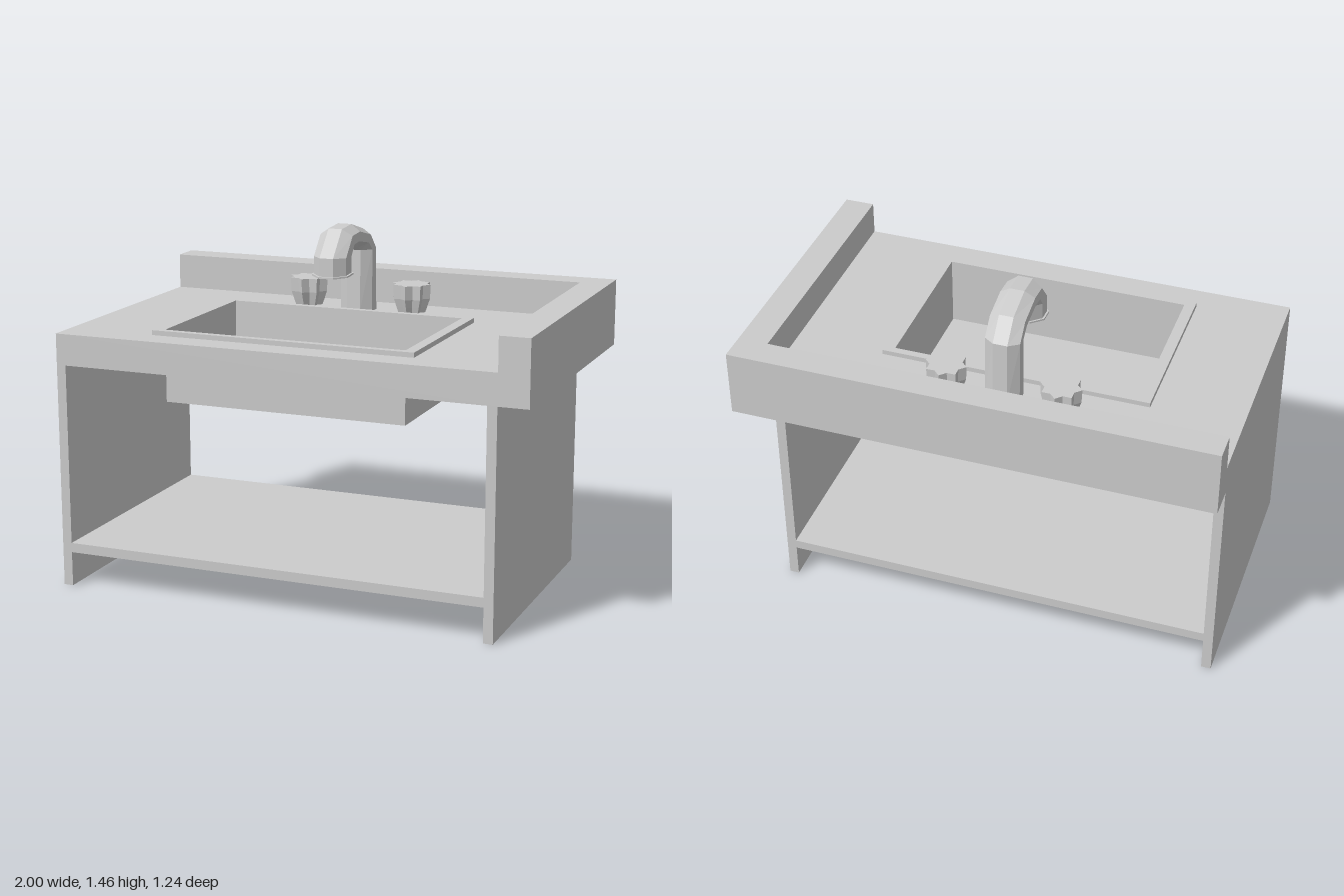
import * as THREE from 'three';

const material = new THREE.MeshStandardMaterial({ color: 0xcccccc, flatShading: true, side: THREE.DoubleSide });

function part(name, geometry, parent) {
  const mesh = new THREE.Mesh(geometry, material);
  mesh.name = name;
  parent.add(mesh);
  return mesh;
}

function box(name, [x0, x1], [y0, y1], [z0, z1], parent) {
  const geo = new THREE.BoxGeometry(x1 - x0, y1 - y0, z1 - z0);
  geo.translate((x0 + x1) / 2, (y0 + y1) / 2, (z0 + z1) / 2);
  return part(name, geo, parent);
}

// Corner points [x, z] of a rectangle in plan
const rect = (x0, x1, z0, z1) => [[x0, z0], [x1, z0], [x1, z1], [x0, z1]];

// Plan outline, with an optional hole, raised from y0 to y1
function slab(outline, hole, y0, y1) {
  const flat = pts => pts.map(([x, z]) => new THREE.Vector2(x, -z));
  const shape = new THREE.Shape(flat(outline));
  if (hole) shape.holes.push(new THREE.Path(flat(hole)));
  const geo = new THREE.ExtrudeGeometry(shape, { depth: y1 - y0, bevelEnabled: false });
  return geo.rotateX(-Math.PI / 2).translate(0, y0, 0);
}

// Skin over a list of rings of Vector3, with fan caps at the ends
function loft(rings, capStart = true, capEnd = true) {
  const pos = [];
  const tri = (...pts) => pts.forEach(p => pos.push(p.x, p.y, p.z));
  const n = rings[0].length;
  const middle = ring => ring.reduce((s, p) => s.add(p), new THREE.Vector3()).divideScalar(n);
  const first = rings[0], last = rings[rings.length - 1];
  for (let j = 0; j < n; j++) {
    const k = (j + 1) % n;
    for (let i = 0; i < rings.length - 1; i++) {
      const a = rings[i], b = rings[i + 1];
      tri(a[j], b[j], a[k]);
      tri(a[k], b[j], b[k]);
    }
    if (capStart) tri(middle(first), first[j], first[k]);
    if (capEnd) tri(middle(last), last[k], last[j]);
  }
  const geo = new THREE.BufferGeometry();
  geo.setAttribute('position', new THREE.Float32BufferAttribute(pos, 3));
  geo.computeVertexNormals();
  return geo;
}

// Octagonal pipe section between an outer and an inner point [z, y]
function pipeRing([oz, oy], [iz, iy], x, halfWidth) {
  const ring = [];
  const grow = 1 / Math.cos(Math.PI / 8);
  for (let j = 0; j < 8; j++) {
    const a = (j + 0.5) * Math.PI / 4;
    const c = Math.cos(a) * grow / 2, s = Math.sin(a) * grow;
    ring.push(new THREE.Vector3(
      x + halfWidth * s,
      (oy + iy) / 2 + (oy - iy) * c,
      (oz + iz) / 2 + (oz - iz) * c));
  }
  return ring;
}

// Eight-pointed star section
function starRing(x, y, z, r) {
  return Array.from({ length: 16 }, (_, j) => {
    const a = j * Math.PI / 8, d = j % 2 ? r * 0.76 : r;
    return new THREE.Vector3(x + d * Math.cos(a), y, z + d * Math.sin(a));
  });
}

export function createModel() {
  const model = new THREE.Group();
  model.name = 'sinkCabinet';

  // Open cabinet: two side panels and a shelf
  const cabinet = new THREE.Group();
  cabinet.name = 'cabinet';
  model.add(cabinet);
  const depth = [-0.49, 0.62];
  box('rightPanel', [-1, -0.96], [0, 0.94], depth, cabinet);
  box('leftPanel', [0.835, 0.875], [0, 0.94], depth, cabinet);
  box('shelf', [-0.96, 0.835], [0.145, 0.185], depth, cabinet);

  // Countertop with basin cut-out, and the L-shaped splash around it
  const opening = rect(-0.58, 0.455, -0.2, 0.47);
  part('countertop', slab(rect(-1, 0.875, -0.5, 0.62), opening, 0.94, 1.07), model);
  const splash = slab([[-1, -0.62], [1, -0.62], [1, 0.62], [0.875, 0.62], [0.875, -0.5], [-1, -0.5]], null, 0.94, 1.215);
  const p = splash.attributes.position;
  for (let i = 0; i < p.count; i++) {
    if (p.getY(i) > 1) p.setY(i, 1.215 - 0.008 * p.getZ(i)); // top falls slightly to the front
  }
  splash.computeVertexNormals();
  part('backsplash', splash, model);

  // Basin: raised rim and thin open tub
  part('basinRim', slab(rect(-0.625, 0.5, -0.23, 0.5), opening, 1.07, 1.09), model);
  const tubRings = [0.79, 1.08].map(y => opening.map(([x, z]) => new THREE.Vector3(x, y, z)));
  part('basinTub', loft(tubRings, true, false), model);

  // Faucet: outer and inner bend points as [z, y]
  const faucet = new THREE.Group();
  faucet.name = 'faucet';
  model.add(faucet);
  const fx = -0.055;
  const bends = [
    [[-0.385, 1.07], [-0.265, 1.07]],
    [[-0.375, 1.34], [-0.27, 1.335]],
    [[-0.298, 1.425], [-0.245, 1.35]],
    [[-0.165, 1.462], [-0.14, 1.366]],
    [[-0.06, 1.455], [-0.11, 1.36]],
    [[0.038, 1.345], [-0.105, 1.345]],
    [[0.038, 1.265], [-0.105, 1.275]],
  ];
  part('spout', loft(bends.map(([o, i]) => pipeRing(o, i, fx, 0.072))), faucet);
  part('spoutLip', loft([
    pipeRing([0.046, 1.268], [-0.112, 1.279], fx, 0.08),
    pipeRing([0.046, 1.261], [-0.112, 1.272], fx, 0.08),
  ]), faucet);

  // Star-shaped tap handles
  for (const [name, x] of [['rightHandle', -0.3], ['leftHandle', 0.175]]) {
    const rings = [[1.07, 0.062], [1.095, 0.071], [1.13, 0.083], [1.19, 0.086]]
      .map(([y, r]) => starRing(x, y, -0.36, r));
    part(name, loft(rings), faucet);
  }
  return model;
}
